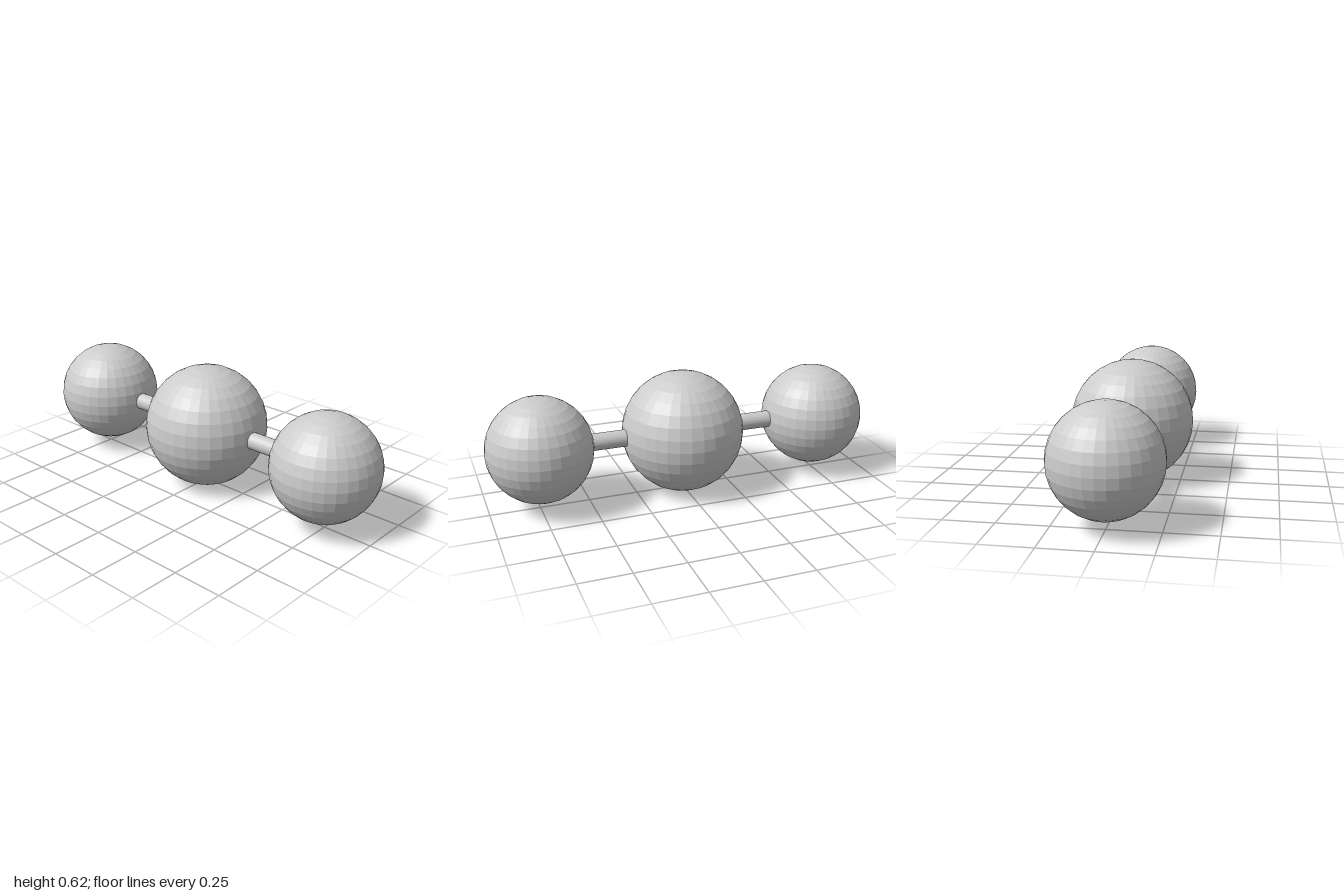
import * as THREE from 'three';

const material = new THREE.MeshStandardMaterial({ color: 0xcccccc, flatShading: true });
const CENTRE_Y = 0.31;
const END_RADIUS = 0.264;
const END_Z = 1 - END_RADIUS;

function addPart(group, name, geometry, z) {
  const mesh = new THREE.Mesh(geometry, material);
  mesh.name = name;
  mesh.position.set(0, CENTRE_Y, z);
  group.add(mesh);
  return mesh;
}

export function createModel() {
  const group = new THREE.Group();
  group.name = 'threeBallModel';

  // Large ball in the middle
  addPart(group, 'centreBall', new THREE.SphereGeometry(0.31, 32, 16), 0);

  // A smaller ball at each end, joined to the middle by a thin rod
  for (const [side, s] of [['front', 1], ['back', -1]]) {
    addPart(group, side + 'Ball', new THREE.SphereGeometry(END_RADIUS, 32, 16), s * END_Z);
    const rod = addPart(group, side + 'Rod',
      new THREE.CylinderGeometry(0.043, 0.043, END_Z, 32), s * END_Z / 2);
    rod.rotation.x = Math.PI / 2;
  }
  return group;
}
